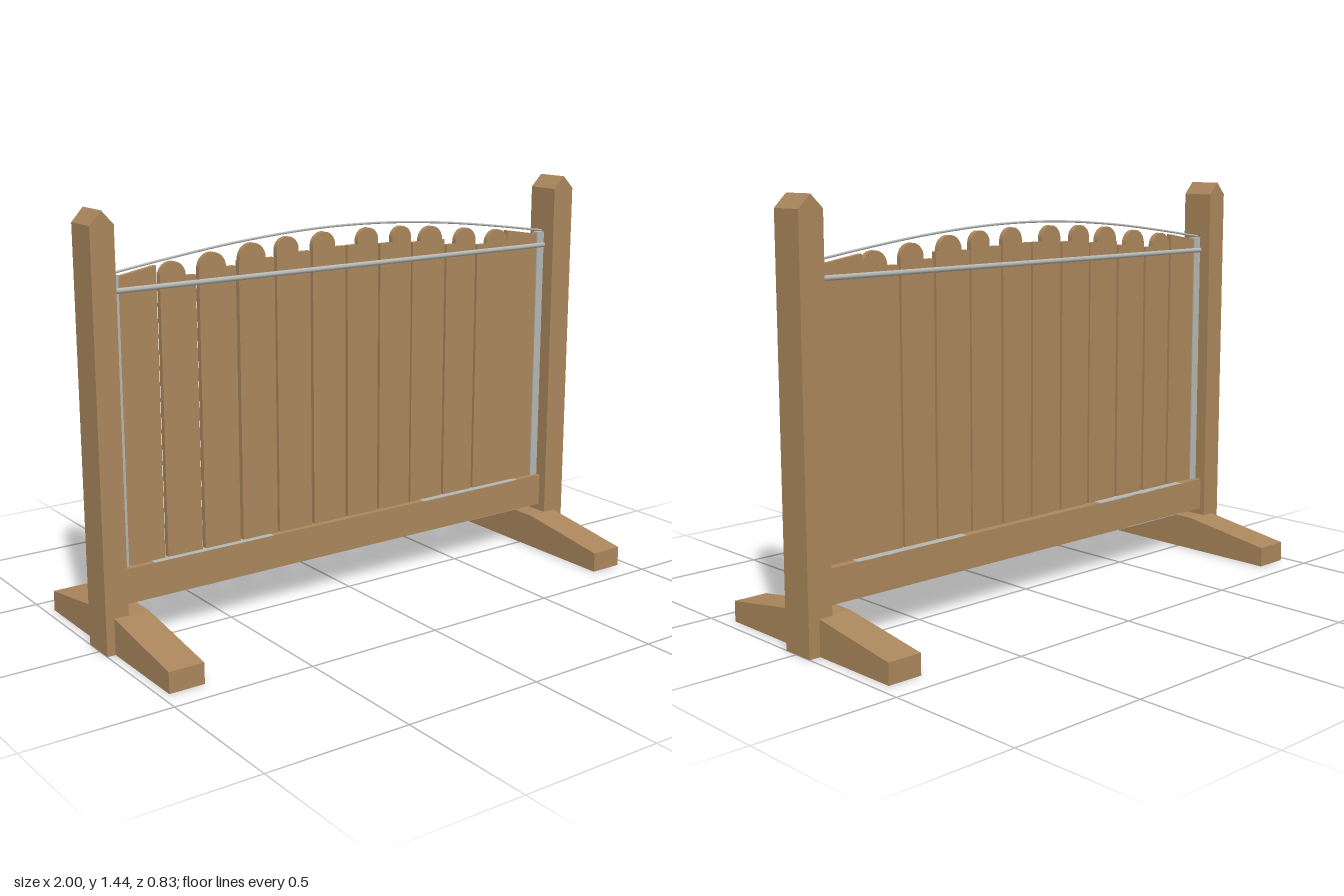
import * as THREE from 'three';

export function createModel() {
  const model = new THREE.Group();
  model.name = 'picketPanel';
  const wood = new THREE.MeshStandardMaterial({ name: 'wood', color: 0xaa865c });
  const steel = new THREE.MeshStandardMaterial({ name: 'steel', color: 0xb4b6b2 });

  function add(name, geometry, material, parent = model) {
    const mesh = new THREE.Mesh(geometry, material);
    mesh.name = name;
    parent.add(mesh);
    return mesh;
  }
  // Box given by its limits on each axis
  function box(name, x0, x1, y0, y1, z0, z1, material, parent) {
    const mesh = add(name, new THREE.BoxGeometry(x1 - x0, y1 - y0, z1 - z0), material, parent);
    mesh.position.set((x0 + x1) / 2, (y0 + y1) / 2, (z0 + z1) / 2);
    return mesh;
  }
  // Extrusion of an outline along z, starting at z0
  function slab(shape, z0, depth) {
    return new THREE.ExtrudeGeometry(shape, { depth, bevelEnabled: false, curveSegments: 12 })
      .translate(0, 0, z0);
  }
  const outline = pts => new THREE.Shape(pts.map(p => new THREE.Vector2(...p)));

  // Posts with a ridged top and the sloping feet through them
  for (const [side, x0, x1, f0] of [['right', -1, -0.918, -0.97], ['left', 0.909, 1, 0.834]]) {
    const post = outline([[x0, 0], [x1, 0], [x1, 1.395], [(x0 + x1) / 2, 1.44], [x0, 1.395]]);
    add(side + 'Post', slab(post, -0.07, 0.125), wood);

    const foot = outline([[-0.413, 0], [0.413, 0], [0.413, 0.072], [0.06, 0.125],
      [-0.06, 0.125], [-0.413, 0.072]]);
    const mesh = add(side + 'Foot', slab(foot, 0, 0.125), wood);
    mesh.rotation.y = Math.PI / 2;
    mesh.position.x = f0;
  }

  // Bottom rail with steel strips let into its top and underside
  box('bottomRail', -0.925, 0.915, 0.15, 0.27, -0.05, 0.022, wood);
  for (const [x0, x1] of [[-0.8, -0.335], [0.325, 0.79]]) {
    box('railTopStrip', x0, x1, 0.268, 0.271, -0.05, 0.022, steel);
    box('railUnderStrip', x0, x1, 0.149, 0.152, -0.05, 0.022, steel);
  }

  // Pickets: x limits, shoulder height, knob centre, knob top
  const pickets = new THREE.Group();
  pickets.name = 'pickets';
  model.add(pickets);
  const rows = [
    [-0.737, -0.606, 1.205, -0.69, 1.255],
    [-0.594, -0.456, 1.22, -0.543, 1.272],
    [-0.444, -0.305, 1.235, -0.39, 1.29],
    [-0.296, -0.161, 1.245, -0.252, 1.30],
    [-0.150, -0.015, 1.25, -0.104, 1.305],
    [-0.005, 0.126, 1.25, 0.082, 1.305],
    [0.136, 0.272, 1.245, 0.23, 1.30],
    [0.280, 0.426, 1.238, 0.364, 1.29],
    [0.436, 0.572, 1.217, 0.525, 1.272],
    [0.582, 0.884, 1.205, 0.678, 1.255],
  ];
  const Z = -0.02, T = 0.02;
  rows.forEach(([x0, x1, shoulder, cx, top], i) => {
    const last = i === rows.length - 1;
    const r = Math.min(0.05, cx - x0, x1 - cx);
    const s = new THREE.Shape();
    s.moveTo(x0, 0.2);
    s.lineTo(x1, 0.2);
    if (last) {
      // the wide end board slopes down to the post
      s.lineTo(x1, 1.222);
      s.lineTo(cx + r, 1.247);
      s.lineTo(cx + r, top - r);
    } else {
      s.lineTo(x1, shoulder);
      s.lineTo(cx + r, shoulder);
    }
    s.lineTo(cx + r, top - r);
    s.absarc(cx, top - r, r, 0, Math.PI, false);
    s.lineTo(cx - r, shoulder);
    s.lineTo(x0, shoulder);
    add('picket', slab(s, Z, T), wood, pickets);
  });
  const end = outline([[-0.885, 0.2], [-0.749, 0.2], [-0.749, 1.247], [-0.885, 1.222]]);
  add('endPicket', slab(end, Z, T), wood, pickets);

  // Steel frame: upright channels, paired rods and the arched wire
  box('rightChannel', -0.92, -0.884, 0.26, 1.23, -0.024, 0.004, steel);
  box('leftChannel', 0.876, 0.912, 0.26, 1.23, -0.024, 0.004, steel);
  for (const z of [0.004, -0.024]) {
    const rod = add('crossRod', new THREE.CylinderGeometry(0.009, 0.009, 1.84, 10), steel);
    rod.rotation.z = Math.PI / 2;
    rod.position.set(-0.005, 1.18, z);
  }
  const arch = new THREE.CatmullRomCurve3([-0.925, -0.7, -0.45, -0.2, 0, 0.2, 0.45, 0.7, 0.915]
    .map(x => new THREE.Vector3(x, 1.232 + 0.088 * Math.cos(x / 0.92 * Math.PI / 2), -0.01)));
  add('archWire', new THREE.TubeGeometry(arch, 48, 0.004, 8), steel);

  return model;
}
